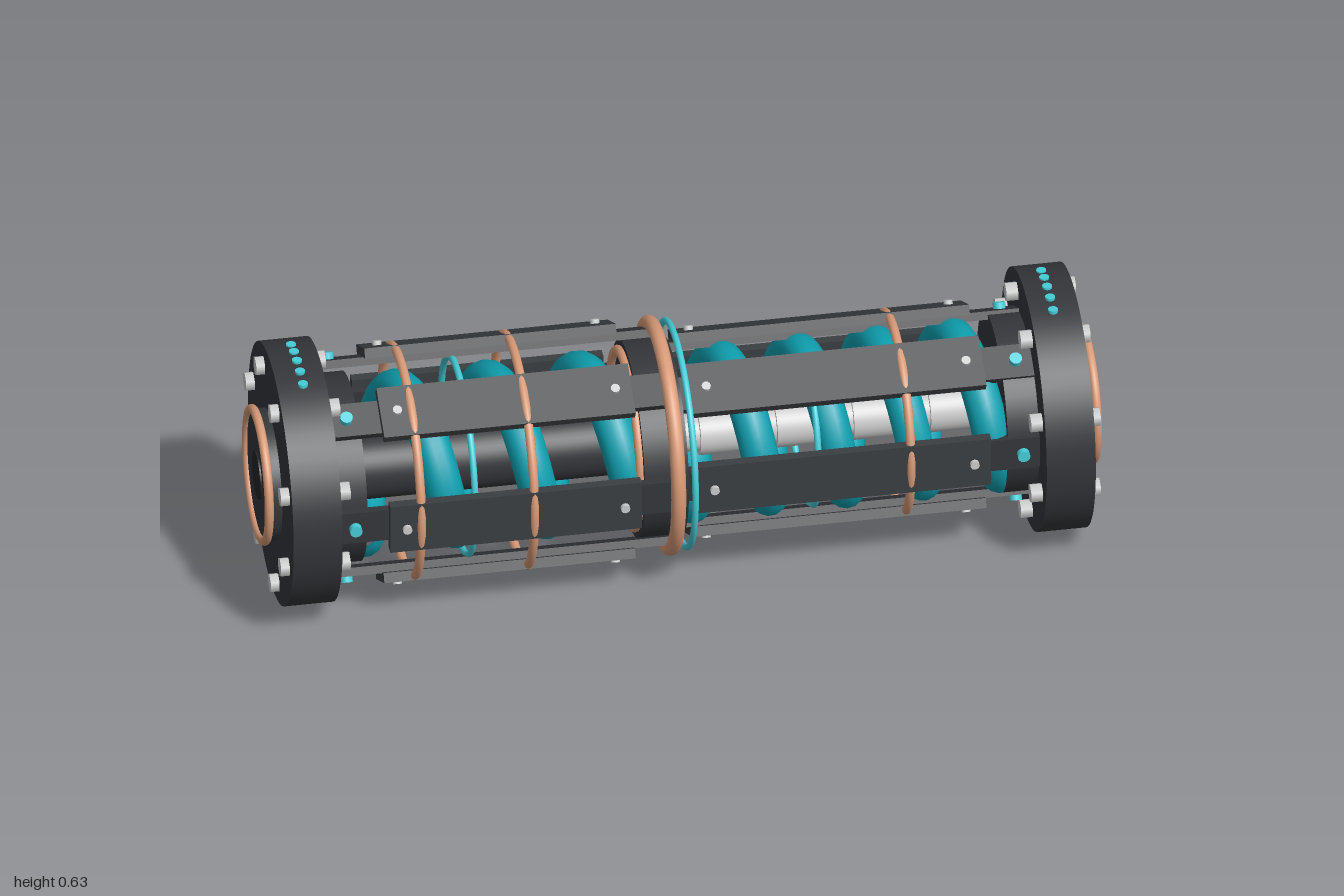
import * as THREE from 'three';

const mat = (color) => new THREE.MeshStandardMaterial({ color });
const DARK = mat(0x34363a), PANEL = mat(0x3b3e42), BLACK = mat(0x232426);
const COPPER = mat(0xd99b78), TEAL = mat(0x0fa0b0), CYAN = mat(0x45cdd8), STEEL = mat(0xcccccc);

export function createModel() {
  const model = new THREE.Group();
  const body = new THREE.Group();
  body.name = 'cylinderAssembly';
  body.position.y = 0.315;
  model.add(body);

  const add = (name, geometry, material, parent = body) => {
    const mesh = new THREE.Mesh(geometry, material);
    mesh.name = name;
    parent.add(mesh);
    return mesh;
  };
  // Cylinder lying along x, from x0 to x1
  const rod = (name, r, x0, x1, material, sides = 48, parent = body) => {
    const g = new THREE.CylinderGeometry(r, r, Math.abs(x1 - x0), sides);
    g.rotateZ(-Math.PI / 2);
    const m = add(name, g, material, parent);
    m.position.x = (x0 + x1) / 2;
    return m;
  };
  // Ring around the x axis
  const ring = (name, r, tube, x, material) => {
    const g = new THREE.TorusGeometry(r, tube, 12, 72);
    g.rotateY(Math.PI / 2);
    add(name, g, material).position.x = x;
  };
  // Repeats parts around the x axis; inside each copy, +z points outward
  const around = (name, count, build) => {
    for (let i = 0; i < count; i++) {
      const g = new THREE.Group();
      g.name = name;
      g.rotation.x = (i / count) * Math.PI * 2;
      body.add(g);
      build(g);
    }
  };
  const stud = (name, r, h, x, z, material, parent) => {
    const g = new THREE.CylinderGeometry(r, r, h, 12);
    g.rotateX(Math.PI / 2);
    add(name, g, material, parent).position.set(x, 0, z);
  };

  // End flanges with hubs, bolts and indicator dots
  for (const s of [-1, 1]) {
    rod('flange', 0.314, s * 0.84, s * 0.957, DARK, 64);
    rod('hub', 0.157, s * 0.95, s * 0.988, DARK, 64);
    rod('hubCentre', 0.058, s * 0.98, s * 0.992, BLACK);
    ring('hubRing', 0.157, 0.011, s * 0.988, COPPER);
    for (let i = 0; i < 8; i++) {
      const a = (i + 0.5) * Math.PI / 4;
      const bolt = rod('flangeBolt', 0.024, s * 0.812, s * 0.978, STEEL, 6);
      bolt.position.y = 0.262 * Math.sin(a);
      bolt.position.z = 0.262 * Math.cos(a);
      bolt.rotation.x = Math.PI / 2;
      bolt.geometry.rotateX(0);
      bolt.material = STEEL;
    }
    for (let i = -2; i <= 2; i++) {
      const z = i * 0.041;
      const dot = add('flangeDot', new THREE.CylinderGeometry(0.012, 0.012, 0.02, 12), CYAN);
      dot.position.set(s * 0.895, Math.sqrt(0.314 ** 2 - z * z) - 0.005, z);
    }
  }

  // The two cage halves: the right-hand one (-x) is wider
  const halves = [
    { r: 0.278, x0: -0.72, x1: -0.12, tab0: -0.85, tab1: -0.02, collar: [-0.85, -0.765], collarR: 0.225, dotR: 0.27, dotX: -0.8 },
    { r: 0.241, x0: 0.02, x1: 0.72, tab0: -0.01, tab1: 0.85, collar: [0.765, 0.85], collarR: 0.215, dotR: 0.232, dotX: 0.8 },
  ];
  for (const h of halves) {
    rod('endCollar', h.collarR, ...h.collar, DARK);
    around('cageBar', 6, (g) => {
      const panel = add('panel', new THREE.BoxGeometry(h.x1 - h.x0, 0.13, 0.024), PANEL, g);
      panel.position.set((h.x0 + h.x1) / 2, 0, h.r - 0.012);
      const rail = add('rail', new THREE.BoxGeometry(h.tab1 - h.tab0, 0.085, 0.02), DARK, g);
      rail.position.set((h.tab0 + h.tab1) / 2, 0, h.r - 0.032);
      for (const x of [h.x0 + 0.04, h.x1 - 0.04]) stud('panelScrew', 0.011, 0.02, x, h.r, STEEL, g);
      stud('collarDot', 0.015, 0.035, h.dotX, h.dotR - 0.015, CYAN, g);
    });
  }

  // Middle drum and joint rings
  rod('middleDrum', 0.235, -0.105, 0.0, DARK, 64);
  ring('jointRing', 0.267, 0.018, -0.03, COPPER);
  ring('jointGlowRing', 0.268, 0.008, 0.01, CYAN);
  ring('drumRing', 0.21, 0.012, -0.11, COPPER);

  // Thin rings wrapped around the cages
  for (const x of [-0.645, -0.375]) ring('cageRing', 0.274, 0.011, x, COPPER);
  ring('cageRing', 0.236, 0.011, 0.53, COPPER);
  ring('innerGlowRing', 0.235, 0.008, -0.51, CYAN);
  ring('innerGlowRing', 0.2, 0.008, 0.315, CYAN);

  // Inner cores
  rod('darkCore', 0.082, -0.8, -0.05, DARK);
  rod('steelCore', 0.045, -0.02, 0.8, STEEL);
  for (let i = 0; i < 4; i++) rod('coreSleeve', 0.056, 0.06 + i * 0.183, 0.17 + i * 0.183, STEEL);

  // Helical coils: peakX is where the coil reaches the back (-z)
  const coil = (x0, x1, pitch, peakX, radius, tube) => {
    const points = [];
    const n = 120;
    for (let i = 0; i <= n; i++) {
      const x = x0 + (x1 - x0) * i / n;
      const a = -Math.PI / 2 + ((x - peakX) / pitch) * Math.PI * 2;
      points.push(new THREE.Vector3(x, radius * Math.cos(a), radius * Math.sin(a)));
    }
    const curve = new THREE.CatmullRomCurve3(points);
    add('coil', new THREE.TubeGeometry(curve, 240, tube, 14), TEAL);
  };
  coil(-0.77, -0.1, 0.218, -0.677, 0.172, 0.046);
  coil(0.0, 0.77, 0.1836, 0.094, 0.172, 0.044);

  return model;
}
